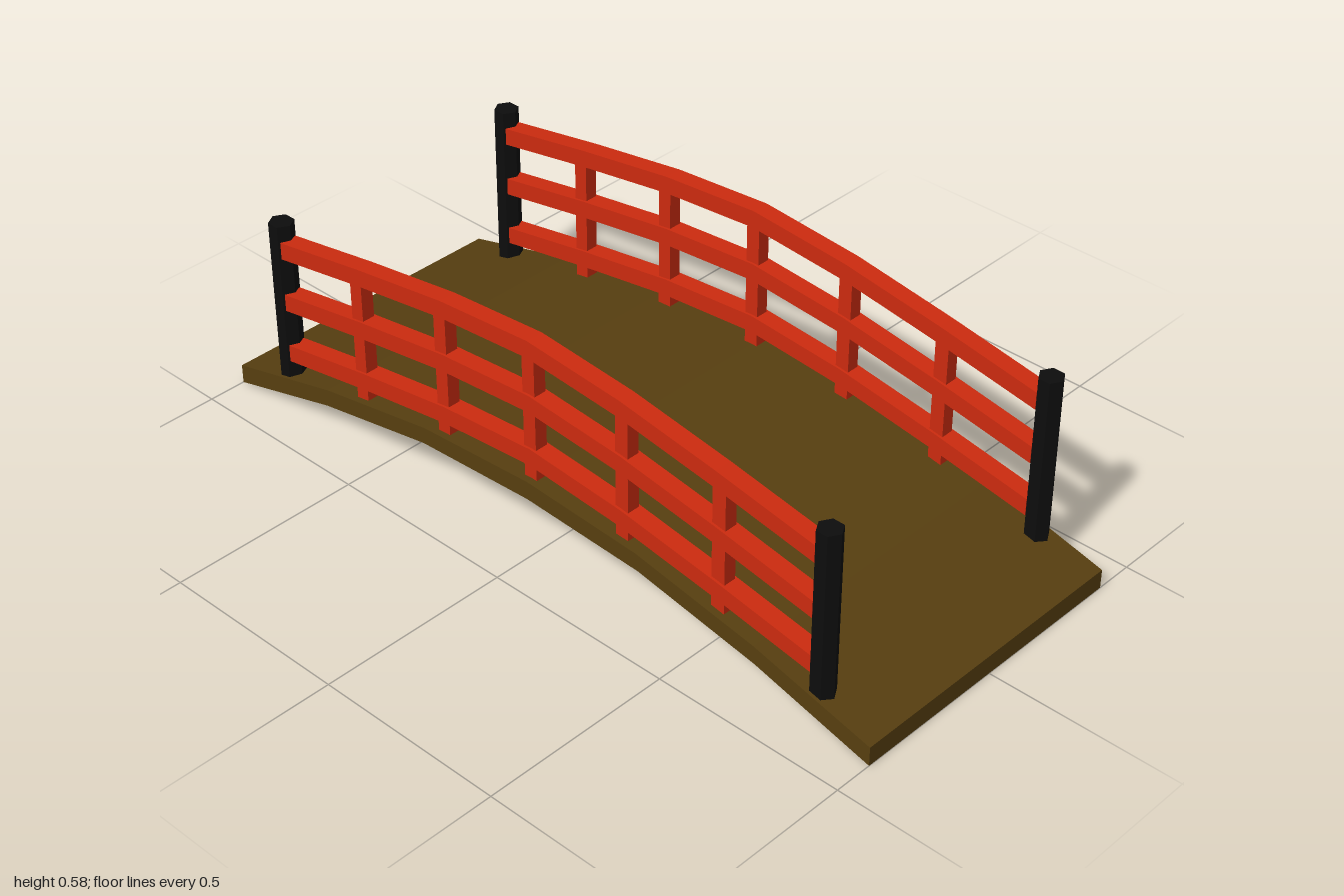
import * as THREE from 'three';

const red = new THREE.MeshStandardMaterial({ color: 0xcd2b0f });
red.name = 'red paint';
const black = new THREE.MeshStandardMaterial({ color: 0x0d0d0d });
black.name = 'black paint';
const brown = new THREE.MeshStandardMaterial({ color: 0x573f10, side: THREE.DoubleSide });
brown.name = 'brown wood';

const SIDE_Z = 0.365;

// Half profiles from the crown outwards
const deckTop = [[0, 0.213], [0.333, 0.193], [0.675, 0.133], [1, 0.05]];
const deckBottom = [[0, 0.165], [0.34, 0.148], [0.68, 0.086], [1, 0]];
const railTop = [[0, 0.585], [0.275, 0.563], [0.55, 0.522], [0.822, 0.475]];

// Full left-to-right profile from a half profile
function mirrored(half) {
  return [...half.slice(1).reverse().map(([x, y]) => [-x, y]), ...half];
}

// Height of a half profile at x
function heightAt(half, x) {
  const a = Math.abs(x);
  let i = 1;
  while (i < half.length - 1 && half[i][0] < a) i++;
  const [x0, y0] = half[i - 1], [x1, y1] = half[i];
  return y0 + (y1 - y0) * (a - x0) / (x1 - x0);
}

function add(group, name, geometry, material, x = 0, y = 0, z = 0) {
  const mesh = new THREE.Mesh(geometry, material);
  mesh.name = name;
  mesh.position.set(x, y, z);
  group.add(mesh);
  return mesh;
}

// Arched deck: a top skin with side and end skirts, open underneath
function deckGeometry() {
  const top = mirrored(deckTop), bottom = mirrored(deckBottom);
  const w = 0.4, pos = [];
  const quad = (a, b, c, d) => pos.push(...a, ...b, ...c, ...a, ...c, ...d);
  for (let i = 0; i < top.length - 1; i++) {
    const t0 = top[i], t1 = top[i + 1], b0 = bottom[i], b1 = bottom[i + 1];
    quad([...t0, w], [...t1, w], [...t1, -w], [...t0, -w]);
    quad([...b0, w], [...b1, w], [...t1, w], [...t0, w]);
    quad([...b1, -w], [...b0, -w], [...t0, -w], [...t1, -w]);
  }
  const n = top.length - 1;
  quad([...bottom[n], w], [...bottom[n], -w], [...top[n], -w], [...top[n], w]);
  quad([...bottom[0], -w], [...bottom[0], w], [...top[0], w], [...top[0], -w]);
  const g = new THREE.BufferGeometry();
  g.setAttribute('position', new THREE.Float32BufferAttribute(pos, 3));
  g.computeVertexNormals();
  return g;
}

// Bent rail, extruded through its depth
function railGeometry() {
  const upper = mirrored(railTop);
  const lower = upper.map(([x, y]) => [x, y - 0.045]).reverse();
  const shape = new THREE.Shape([...upper, ...lower].map(([x, y]) => new THREE.Vector2(x, y)));
  const depth = 0.046;
  return new THREE.ExtrudeGeometry(shape, { depth, bevelEnabled: false }).translate(0, 0, -depth / 2);
}

export function createModel() {
  const model = new THREE.Group();
  model.name = 'archedFootbridge';
  add(model, 'deck', deckGeometry(), brown);

  const rail = railGeometry();
  const postBase = 0.075, postTop = 0.517;
  const post = new THREE.CylinderGeometry(0.031, 0.031, postTop - postBase, 6)
    .rotateY(Math.PI / 6).toNonIndexed();
  post.computeVertexNormals();

  for (const s of [1, -1]) {
    const railing = new THREE.Group();
    railing.name = s > 0 ? 'frontRailing' : 'backRailing';
    railing.position.z = s * SIDE_Z;
    model.add(railing);

    // Three rails following the arch
    ['topRail', 'middleRail', 'bottomRail'].forEach((name, i) =>
      add(railing, name, rail, red, 0, -0.1445 * i));

    // Five uprights, their feet just through the deck skin
    for (let i = -2; i <= 2; i++) {
      const x = i * 0.281 - 0.005;
      const y0 = heightAt(deckTop, x) - 0.015;
      const y1 = heightAt(railTop, x) - 0.02;
      add(railing, 'upright', new THREE.BoxGeometry(0.037, y1 - y0, 0.034), red, x, (y0 + y1) / 2);
    }

    // Hexagonal end posts
    for (const e of [1, -1]) {
      add(railing, 'endPost', post, black, e * 0.841, (postBase + postTop) / 2);
    }
  }
  return model;
}
